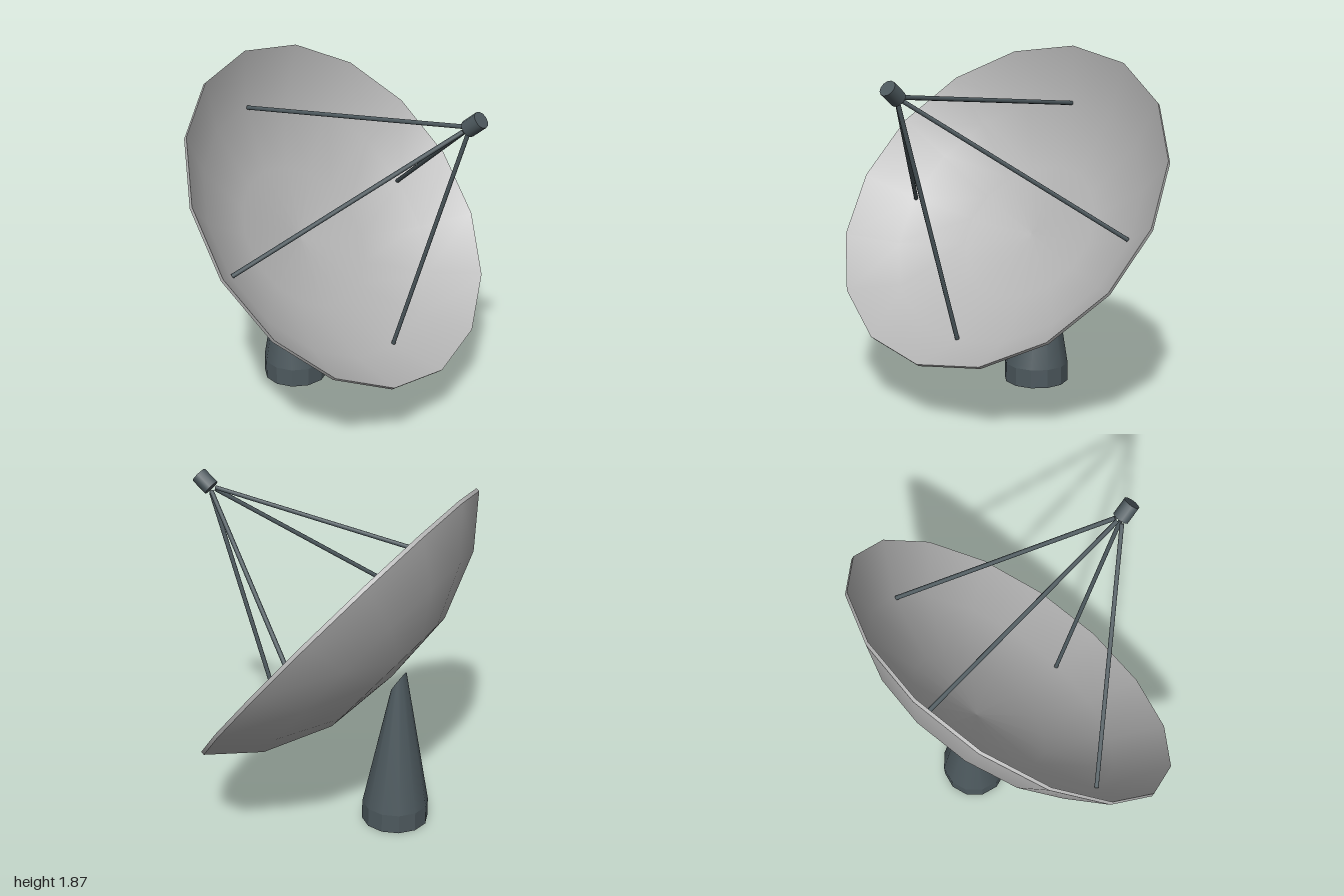
import * as THREE from 'three';
import { mergeVertices } from 'three/addons/utils/BufferGeometryUtils.js';

const paint = (name, color, extra = {}) => {
  const m = new THREE.MeshStandardMaterial({ color, ...extra });
  m.name = name;
  return m;
};

export function createModel() {
  const model = new THREE.Group();
  model.name = 'satelliteDish';
  const paleGrey = paint('paleGrey', 0xb4b4b4);
  const slate = paint('slate', 0x4d595e);

  const add = (parent, name, geometry, material) => {
    const mesh = new THREE.Mesh(geometry, material);
    mesh.name = name;
    parent.add(mesh);
    return mesh;
  };

  // Reflector assembly: local +y is the dish axis, tilted towards the front
  const dish = new THREE.Group();
  dish.name = 'dish';
  dish.position.set(0, 1.1, -0.095);
  dish.rotation.x = THREE.MathUtils.degToRad(50);
  model.add(dish);

  const lathe = (points) =>
    new THREE.LatheGeometry(points.map(([r, y]) => new THREE.Vector2(r, y)), 16);
  add(dish, 'dishHub', lathe([[0, -0.4], [0.415, -0.37]]), paleGrey);
  add(dish, 'dishBack', lathe([[0.415, -0.37], [0.765, -0.223], [1, -0.02]]), paleGrey);
  add(dish, 'dishRim', lathe([[1, -0.02], [1, 0]]), paleGrey);
  add(dish, 'dishFront', lathe([[1, 0], [0.765, -0.2], [0.415, -0.345], [0, -0.378]]), paleGrey);

  // Four struts rising from the bowl to the feed
  const up = new THREE.Vector3(0, 1, 0);
  for (let i = 0; i < 4; i++) {
    const a = (i * Math.PI) / 2;
    const at = (r, y) => new THREE.Vector3(r * Math.sin(a), y, r * Math.cos(a));
    const foot = at(0.75, -0.2), head = at(0.022, 0.964);
    const dir = head.clone().sub(foot);
    const strut = add(dish, 'strut', new THREE.CylinderGeometry(0.012, 0.012, dir.length(), 8), slate);
    strut.position.copy(foot).add(head).multiplyScalar(0.5);
    strut.quaternion.setFromUnitVectors(up, dir.normalize());
  }

  // Feed horn on the axis
  const feed = add(dish, 'feedHorn', new THREE.CylinderGeometry(0.045, 0.045, 0.096, 12), slate);
  feed.position.y = 1.03;

  // Pedestal: faceted foot
  const pedestal = new THREE.Group();
  pedestal.name = 'pedestal';
  pedestal.position.z = -0.435;
  model.add(pedestal);
  const footGeo = new THREE.CylinderGeometry(0.18, 0.18, 0.105, 12).toNonIndexed();
  footGeo.computeVertexNormals();
  add(pedestal, 'pedestalFoot', footGeo, slate).position.y = 0.0525;

  // Pedestal: tapered column whose top ring is tipped parallel to the dish
  const tip = THREE.MathUtils.degToRad(57), topY = 0.822, topZ = -0.005;
  let column = new THREE.CylinderGeometry(0.064, 0.18, 1, 12, 1, true);
  const p = column.attributes.position;
  for (let i = 0; i < p.count; i++) {
    const z = p.getZ(i);
    if (p.getY(i) > 0) {
      p.setY(i, topY - z * Math.sin(tip));
      p.setZ(i, topZ + z * Math.cos(tip));
    } else p.setY(i, 0.105);
  }
  column.deleteAttribute('uv');
  column.deleteAttribute('normal');
  column = mergeVertices(column);
  column.computeVertexNormals();
  add(pedestal, 'pedestalColumn', column, slate);
  const cap = add(pedestal, 'pedestalCap', new THREE.CircleGeometry(0.064, 12), slate);
  cap.rotation.x = tip - Math.PI / 2;
  cap.position.set(0, topY, topZ);

  return model;
}
